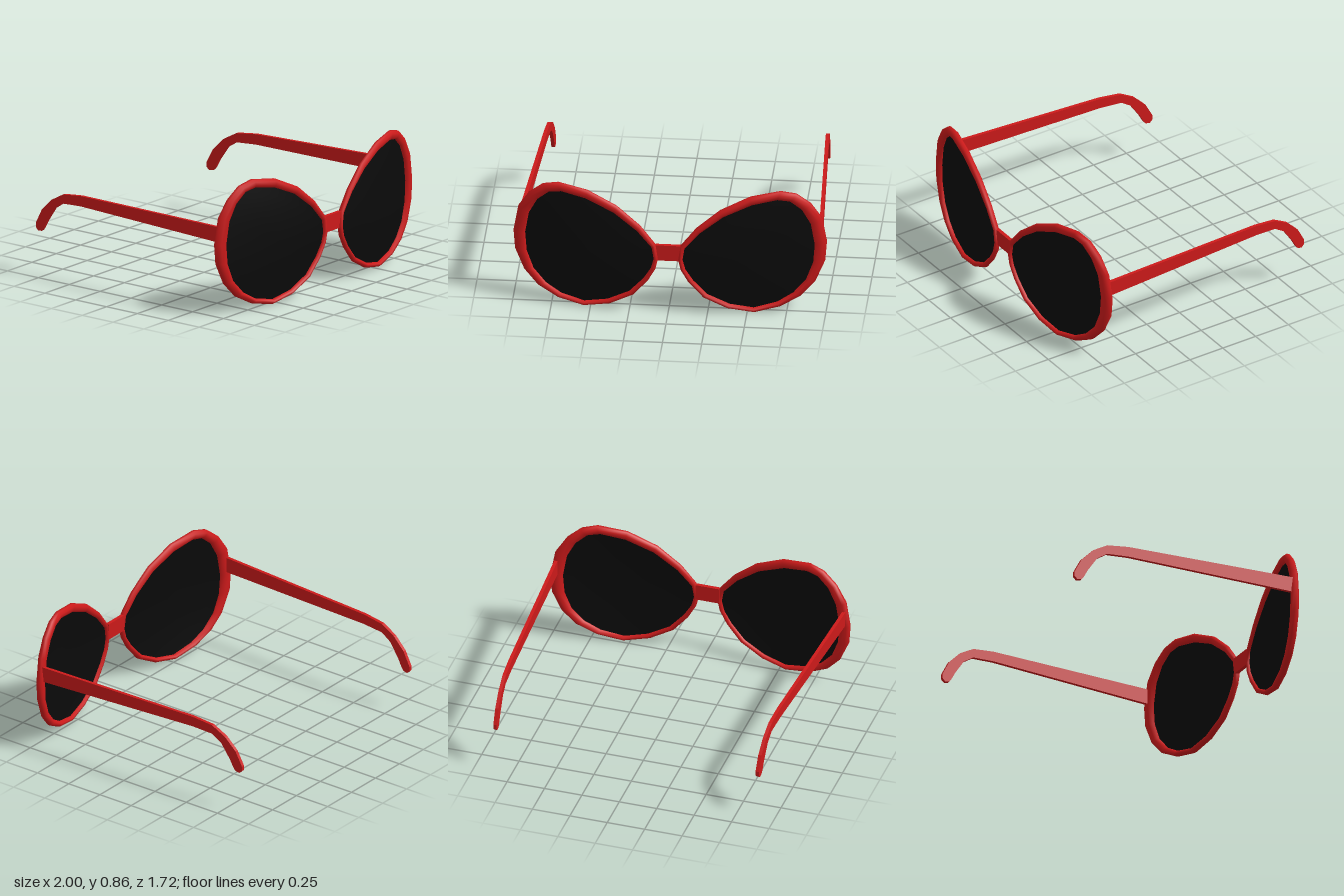
import * as THREE from 'three';

const red = new THREE.MeshStandardMaterial({ color: 0xcc1a1a });
const black = new THREE.MeshStandardMaterial({ color: 0x0a0a0a, side: THREE.DoubleSide });

// Matching outlines of the rim, clockwise from the nose: [outer x, outer y, inner x, inner y]
const outline = [
  [0.065, 0.39, 0.092, 0.39], [0.08, 0.49, 0.105, 0.47], [0.18, 0.615, 0.2, 0.58], [0.33, 0.74, 0.35, 0.695],
  [0.52, 0.83, 0.53, 0.775], [0.71, 0.86, 0.69, 0.805], [0.81, 0.835, 0.77, 0.79], [0.9, 0.76, 0.845, 0.725],
  [0.97, 0.65, 0.9, 0.62], [1.0, 0.48, 0.925, 0.47], [0.99, 0.35, 0.915, 0.34], [0.93, 0.21, 0.87, 0.22],
  [0.84, 0.11, 0.79, 0.13], [0.71, 0.04, 0.69, 0.07], [0.545, 0.005, 0.54, 0.035], [0.375, 0.04, 0.39, 0.067],
  [0.225, 0.12, 0.25, 0.14], [0.13, 0.23, 0.16, 0.24], [0.08, 0.32, 0.11, 0.32],
];

// Wrap-around curve of the whole front
const frontZ = (x) => 0.85 - 0.08 * x - 0.085 * x * x;

// Surface around the outline: point(outlineEntry, j) for j = 0..m-1
function sweep(m, closed, point) {
  const n = outline.length, pos = [], idx = [];
  outline.forEach((o) => { for (let j = 0; j < m; j++) pos.push(...point(o, j)); });
  for (let i = 0; i < n; i++) {
    for (let j = 0; j < (closed ? m : m - 1); j++) {
      const i2 = (i + 1) % n, j2 = (j + 1) % m;
      const a = i * m + j, b = i * m + j2, c = i2 * m + j, d = i2 * m + j2;
      idx.push(a, b, c, b, d, c);
    }
  }
  const g = new THREE.BufferGeometry();
  g.setAttribute('position', new THREE.Float32BufferAttribute(pos, 3));
  g.setIndex(idx);
  g.computeVertexNormals();
  return g;
}

// Rim: octagonal section spanning inner to outer outline
function rimGeometry() {
  const sides = 8, k = 1 / Math.cos(Math.PI / sides);
  return sweep(sides, true, ([ox, oy, ix, iy], j) => {
    const phi = ((j + 0.5) / sides) * Math.PI * 2;
    const t = 0.5 + 0.5 * k * Math.cos(phi);
    const x = ix + (ox - ix) * t, y = iy + (oy - iy) * t;
    return [x, y, frontZ(x) + (0.017 + 0.01 * x) * k * Math.sin(phi)];
  });
}

// Lens: slightly domed sheet, rings from the rim to the centre
function lensGeometry() {
  const rings = 7, cx = 0.52, cy = 0.42;
  return sweep(rings, false, ([, , ix, iy], j) => {
    const t = 1.02 * (1 - j / (rings - 1));
    const x = cx + (ix - cx) * t, y = cy + (iy - cy) * t;
    return [x, y, frontZ(x) + 0.028 * (1 - t * t)];
  });
}

// Temple arm: side profile in (z, y), extruded thin and splayed toward the hinge
function templeGeometry() {
  const profile = [
    [0.68, 0.592], [-0.48, 0.573], [-0.63, 0.555], [-0.73, 0.5], [-0.81, 0.42], [-0.86, 0.325], [-0.86, 0.295],
    [-0.84, 0.275], [-0.81, 0.28], [-0.795, 0.3], [-0.765, 0.355], [-0.7, 0.45], [-0.63, 0.495], [-0.48, 0.505],
    [0.68, 0.491],
  ];
  const shape = new THREE.Shape(profile.map(([z, y]) => new THREE.Vector2(z, y)));
  const g = new THREE.ExtrudeGeometry(shape, { depth: 0.022, bevelEnabled: false });
  g.translate(0, 0, -0.011).rotateY(-Math.PI / 2);
  const p = g.attributes.position;
  for (let i = 0; i < p.count; i++) p.setX(i, p.getX(i) + 0.876 + (p.getZ(i) + 0.86) * 0.056);
  g.computeVertexNormals();
  return g;
}

export function createModel() {
  const model = new THREE.Group();
  model.name = 'sunglasses';
  const add = (parent, name, geometry, material) => {
    const mesh = new THREE.Mesh(geometry, material);
    mesh.name = name;
    parent.add(mesh);
    return mesh;
  };

  // Left half and its mirror image
  const rim = rimGeometry(), lens = lensGeometry(), temple = templeGeometry();
  for (const [side, s] of [['left', 1], ['right', -1]]) {
    const half = new THREE.Group();
    half.name = side + 'Half';
    half.scale.x = s;
    add(half, side + 'Rim', rim, red);
    add(half, side + 'Lens', lens, black);
    add(half, side + 'Temple', temple, red);
    model.add(half);
  }

  // Nose bridge
  add(model, 'bridge', new THREE.BoxGeometry(0.16, 0.108, 0.024), red).position.set(0, 0.434, 0.837);
  return model;
}
